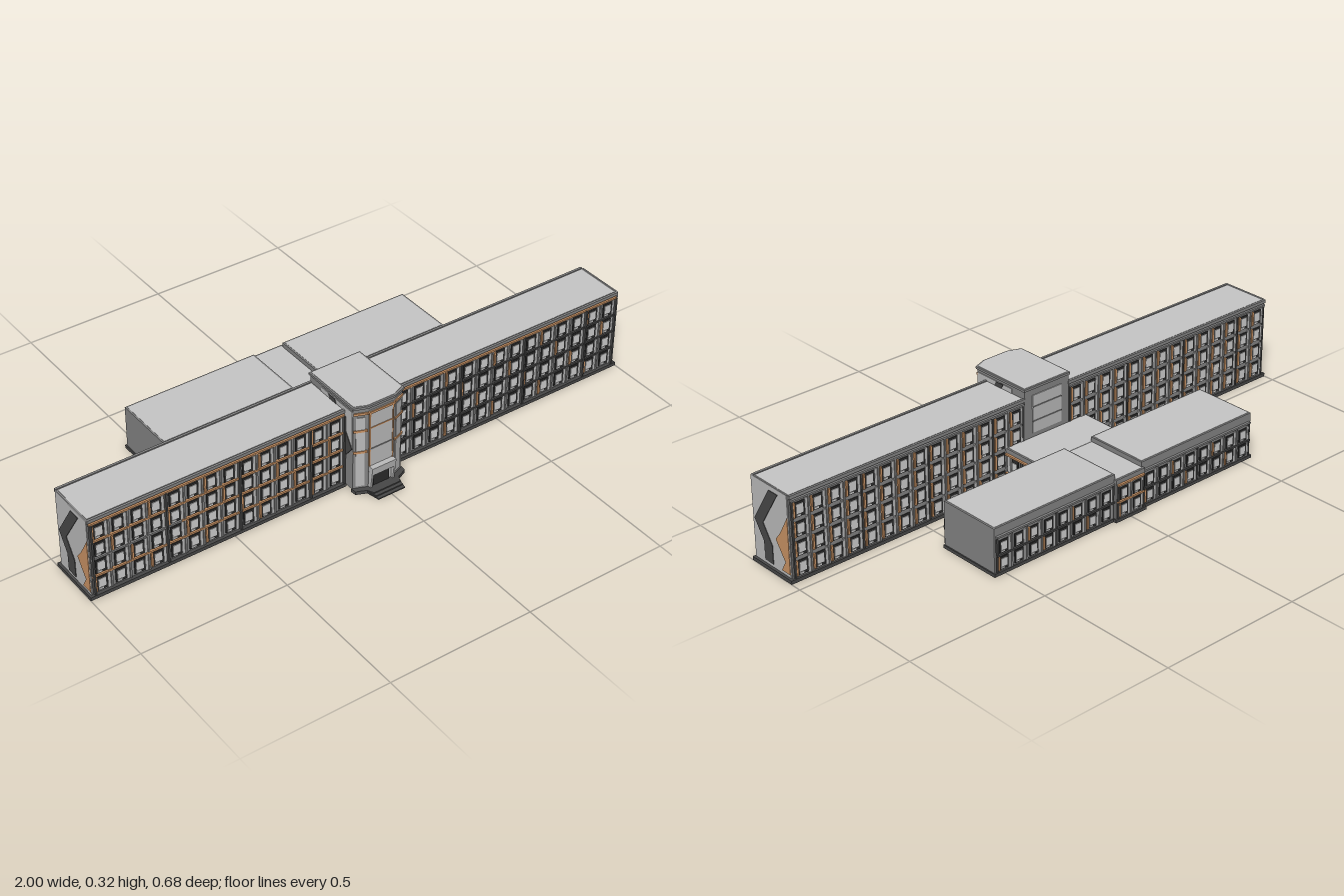
import * as THREE from 'three';
import { mergeGeometries } from 'three/addons/utils/BufferGeometryUtils.js';

const mat = (name, color) => Object.assign(new THREE.MeshStandardMaterial({ color }), { name });
const M = {
  wall: mat('wall grey', 0x858585),
  light: mat('light panel', 0xbcbcbc),
  roof: mat('roof grey', 0xc6c6c6),
  pane: mat('window pane', 0xd2d2d2),
  dark: mat('dark trim', 0x484848),
  frame: mat('window frame', 0x2c2c2c),
  orange: mat('orange trim', 0xcb9465),
};

// Box geometry from its limits
function boxGeo(x0, x1, y0, y1, z0, z1) {
  return new THREE.BoxGeometry(x1 - x0, y1 - y0, z1 - z0)
    .translate((x0 + x1) / 2, (y0 + y1) / 2, (z0 + z1) / 2);
}
function add(parent, name, material, geo) {
  const m = new THREE.Mesh(geo, material);
  m.name = name;
  parent.add(m);
  return m;
}
const box = (parent, name, material, ...b) => add(parent, name, material, boxGeo(...b));

function prism(pts, depth) {
  const s = new THREE.Shape(pts.map(p => new THREE.Vector2(p[0], p[1])));
  return new THREE.ExtrudeGeometry(s, { depth, bevelEnabled: false });
}
// Plan outline given as x,z pairs, raised from y0 to y1
const plan = (pts, y0, y1) =>
  prism(pts.map(([x, z]) => [x, -z]), y1 - y0).rotateX(-Math.PI / 2).translate(0, y0, 0);

// Solid block with a rim and an inset roof sheet
function block(parent, name, x0, x1, z0, z1, h) {
  box(parent, name + 'Walls', M.wall, x0, x1, 0.008, h, z0, z1);
  box(parent, name + 'Roof', M.roof, x0 + 0.006, x1 - 0.006, h - 0.004, h + 0.001, z0 + 0.006, z1 - 0.006);
}

// Window wall facing local +z, centred on local x = 0
function facade(parent, name, o) {
  const { w, bays, floors, y0, fh, pier, fin, bands = [] } = o;
  const parts = {};
  const put = (k, ...b) => (parts[k] ??= []).push(boxGeo(...b));
  const step = w / bays, half = step * 0.29;
  const top = y0 + floors * fh;
  for (let i = 0; i < bays; i++) {
    const cx = -w / 2 + (i + 0.5) * step;
    for (let f = 0; f < floors; f++) {
      const y = y0 + f * fh;
      put('frame', cx - half, cx + half, y + 0.004, y + fh * 0.83, 0, 0.003);
      put('pane', cx - half * 0.72, cx + half * 0.6, y + fh * 0.24, y + fh * 0.72, 0, 0.005);
      put('pane', cx - half * 0.72, cx + half * 0.1, y + 0.007, y + fh * 0.2, 0, 0.005);
      put('light', cx + half, cx + half + step * 0.14, y, y + fh * 0.88, 0, 0.004);
      if (pier === 'orange' || (f + i) % 3 === 0)
        put('orange', cx - half - step * 0.1, cx - half, y + 0.004, y + fh * 0.85, 0, 0.006);
    }
    if (i) put(i % 4 ? 'wall' : 'dark', cx - step / 2 - 0.003, cx - step / 2 + 0.003, y0, top, 0, i % 4 ? 0.006 : fin);
  }
  for (const e of [-1, 1])
    put('dark', e * (w / 2 - 0.003) - 0.003, e * (w / 2 - 0.003) + 0.003, y0, top, 0, fin);
  // floor bands: height, colour, start and end
  for (const [y, k, a = -w / 2, b = w / 2] of bands) put(k, a, b, y - 0.003, y + 0.003, 0, 0.008);
  const g = new THREE.Group();
  g.name = name;
  for (const k in parts) add(g, name + '_' + k, M[k], mergeGeometries(parts[k]));
  parent.add(g);
  return g;
}
function place(g, x, z, ry = 0) {
  g.position.set(x, 0, z);
  g.rotation.y = ry;
}

export function createModel() {
  const root = new THREE.Group();
  root.name = 'longBuilding';

  // Dark plinths
  for (const s of [-1, 1]) {
    const [a, b] = s > 0 ? [0.09, 1] : [-1, -0.09];
    box(root, 'wingPlinth', M.dark, a, b, 0, 0.012, 0.038, 0.229);
  }
  box(root, 'linkPlinth', M.dark, -0.175, 0.175, 0, 0.011, -0.1, 0.045);
  box(root, 'rearPlinth', M.dark, -0.542, 0.542, 0, 0.011, -0.33, -0.098);

  // Four-storey wings
  for (const s of [-1, 1]) {
    const side = s > 0 ? 'left' : 'right';
    const [a, b] = s > 0 ? [0.09, 0.99] : [-0.99, -0.09];
    block(root, side + 'Wing', a, b, 0.045, 0.217, 0.286);
    const cx = s * 0.54;
    const lower = s < 0
      ? [[0.078, 'orange'], [0.142, 'orange', -0.14, 0.445], [0.142, 'wall', -0.445, -0.14], [0.206, 'orange']]
      : [[0.078, 'dark'], [0.142, 'dark'], [0.206, 'dark']];
    place(facade(root, side + 'WingFront', {
      w: 0.89, bays: 14, floors: 4, y0: 0.014, fh: 0.064, fin: 0.013, pier: 'mixed',
      bands: [...lower, [0.271, 'orange']],
    }), cx, 0.217);
    place(facade(root, side + 'WingBack', {
      w: 0.89, bays: 14, floors: 4, y0: 0.014, fh: 0.064, fin: 0.006, pier: 'orange',
      bands: [[0.271, 'wall']],
    }), cx, 0.045, Math.PI);
    // Coping around the roof
    box(root, 'frontCoping', M.wall, a, b, 0.278, 0.289, 0.215, 0.223);
    box(root, 'backCoping', M.wall, a, b, 0.278, 0.289, 0.039, 0.047);

    // Painted end wall with bent stripes
    const end = new THREE.Group();
    end.name = side + 'EndWall';
    box(end, 'endPanel', M.light, -0.086, 0.086, 0.014, 0.289, 0, 0.003);
    const stripe = (name, m, pts) =>
      add(end, name, m, prism(pts.map(([z, y]) => [0.135 - z, y]), 0.005));
    stripe('darkStripe', M.dark, [[0.134, 0.273], [0.213, 0.15], [0.172, 0.088], [0.172, 0.025],
      [0.132, 0.025], [0.132, 0.088], [0.172, 0.15], [0.092, 0.273]]);
    stripe('orangeStripe', M.orange, [[0.05, 0.215], [0.088, 0.15], [0.112, 0.12], [0.07, 0.06],
      [0.09, 0.025], [0.05, 0.025]]);
    place(end, s * 0.99, 0.135, s * Math.PI / 2);
    root.add(end);
  }

  // Central tower with a canted front
  const tower = new THREE.Group();
  tower.name = 'tower';
  root.add(tower);
  const outline = e => [[-0.092 - e, 0.042 - e], [0.092 + e, 0.042 - e], [0.092 + e, 0.262 + e],
    [0.05, 0.279 + e], [-0.05, 0.279 + e], [-0.092 - e, 0.262 + e]];
  add(tower, 'towerWalls', M.wall, plan(outline(0), 0.008, 0.318));
  add(tower, 'towerCornice', M.wall, plan(outline(0.004), 0.312, 0.32));
  add(tower, 'towerRoof', M.roof, plan(outline(-0.002), 0.318, 0.3215));
  box(tower, 'frontPanel', M.light, -0.045, 0.045, 0.012, 0.3, 0.278, 0.282);
  box(tower, 'topBand', M.orange, -0.05, 0.05, 0.29, 0.298, 0.278, 0.286);
  for (const y of [0.07, 0.155, 0.235])
    box(tower, 'panelLine', y > 0.2 ? M.orange : M.wall, -0.045, 0.045, y - 0.002, y + 0.002, 0.278, 0.284);
  for (const s of [-1, 1]) {
    box(tower, 'panelEdge', M.orange, s * 0.043 - 0.002, s * 0.043 + 0.002, 0.09, 0.29, 0.278, 0.284);
    // canted side strips
    const cant = new THREE.Group();
    cant.name = 'cantedFace';
    for (const y of [0.15, 0.23, 0.294])
      box(cant, 'cantBand', M.orange, -0.022, 0.022, y - 0.004, y + 0.004, 0, 0.004);
    box(cant, 'cantPanel', M.light, -0.014, 0.014, 0.02, 0.28, 0, 0.002);
    place(cant, s * 0.071, 0.2705, s * Math.atan2(0.017, 0.042));
    tower.add(cant);
    // painted side walls
    const flank = new THREE.Group();
    flank.name = 'towerFlank';
    const f = (name, m, pts, d) => add(flank, name, m, prism(pts.map(([z, y]) => [-s * z, y]), d));
    f('flankPanel', M.light, [[0.26, 0.165], [0.26, 0.302], [0.1, 0.302], [0.1, 0.28], [0.222, 0.28], [0.222, 0.12]], 0.002);
    f('flankStripe', M.dark, [[0.261, 0.165], [0.222, 0.227], [0.222, 0.115]], 0.004);
    f('flankTopStripe', M.dark, [[0.18, 0.285], [0.17, 0.302], [0.138, 0.302], [0.148, 0.285]], 0.004);
    place(flank, s * 0.092, 0, s * Math.PI / 2);
    tower.add(flank);
  }
  // back windows above the link
  box(tower, 'backPanel', M.light, -0.06, 0.06, 0.16, 0.29, 0.039, 0.043);
  for (const y of [0.2, 0.25]) box(tower, 'backLine', M.wall, -0.06, 0.06, y - 0.002, y + 0.002, 0.037, 0.042);

  // Entrance: door, leaning portal and flared steps
  const entry = new THREE.Group();
  entry.name = 'entrance';
  root.add(entry);
  box(entry, 'doors', M.frame, -0.03, 0.03, 0.012, 0.06, 0.28, 0.285);
  const lean = prism([[0.28, 0.01], [0.291, 0.01], [0.301, 0.09], [0.28, 0.09]], 0.006);
  for (const s of [-1, 1])
    add(entry, 'portalSide', M.light, lean.clone().rotateY(-Math.PI / 2).translate(s * 0.042 + 0.003, 0, 0));
  add(entry, 'portalHead', M.light,
    prism([[0.28, 0.062], [0.2975, 0.062], [0.301, 0.09], [0.28, 0.09]], 0.078)
      .rotateY(-Math.PI / 2).translate(0.039, 0, 0));
  [[0, 0.004, 1], [0.004, 0.008, 0.8], [0.008, 0.012, 0.6]].forEach(([a, b, k]) =>
    add(entry, 'step', M.dark, plan([[-0.096, 0.26], [0.096, 0.26], [0.094, 0.28], [0.06, 0.295],
      [0.05, 0.28 + 0.06 * k], [-0.05, 0.28 + 0.06 * k], [-0.06, 0.295], [-0.094, 0.28]], a, b)));

  // Two-storey link between the wings and the rear hall
  block(root, 'link', -0.168, 0.168, -0.11, 0.045, 0.144);
  const low = { floors: 2, y0: 0.012, fh: 0.056, fin: 0.005, pier: 'mixed' };
  for (const s of [-1, 1]) {
    const g = new THREE.Group();
    g.name = 'linkSide';
    for (const y of [0.06, 0.126]) box(g, 'linkBand', M.orange, -0.07, 0.07, y - 0.003, y + 0.003, 0, 0.007);
    for (const x of [-0.028, 0.028]) for (const y of [0.012, 0.068]) {
      box(g, 'linkFrame', M.frame, x - 0.014, x + 0.014, y, y + 0.054, 0, 0.003);
      box(g, 'linkPane', M.pane, x - 0.012, x + 0.009, y + 0.005, y + 0.04, 0, 0.005);
    }
    for (const x of [-0.056, 0.056]) box(g, 'linkPier', M.light, x - 0.006, x + 0.006, 0.012, 0.122, 0, 0.004);
    box(g, 'linkMiddle', M.dark, -0.006, 0.006, 0.012, 0.122, 0, 0.003);
    place(g, s * 0.168, -0.03, s * Math.PI / 2);
    root.add(g);
  }

  // Rear halls either side of a lower porch
  for (const s of [-1, 1]) {
    const [a, b] = s > 0 ? [0.056, 0.538] : [-0.538, -0.056];
    block(root, 'rearHall', a, b, -0.324, -0.1, 0.16);
    place(facade(root, 'rearHallBack', { ...low, w: 0.47, bays: 8, bands: [[0.068, 'dark'], [0.13, 'wall']] }),
      s * 0.297, -0.324, Math.PI);
    place(facade(root, 'rearHallFront', { ...low, w: 0.36, bays: 6, bands: [[0.068, 'dark']] }), s * 0.355, -0.1);
  }
  block(root, 'rearPorch', -0.06, 0.06, -0.335, -0.1, 0.144);
  box(root, 'porchPlinth', M.dark, -0.064, 0.064, 0, 0.011, -0.341, -0.32);
  place(facade(root, 'porchBack', { ...low, w: 0.11, bays: 2, bands: [[0.068, 'orange'], [0.126, 'orange']] }),
    0, -0.334, Math.PI);
  return root;
}
